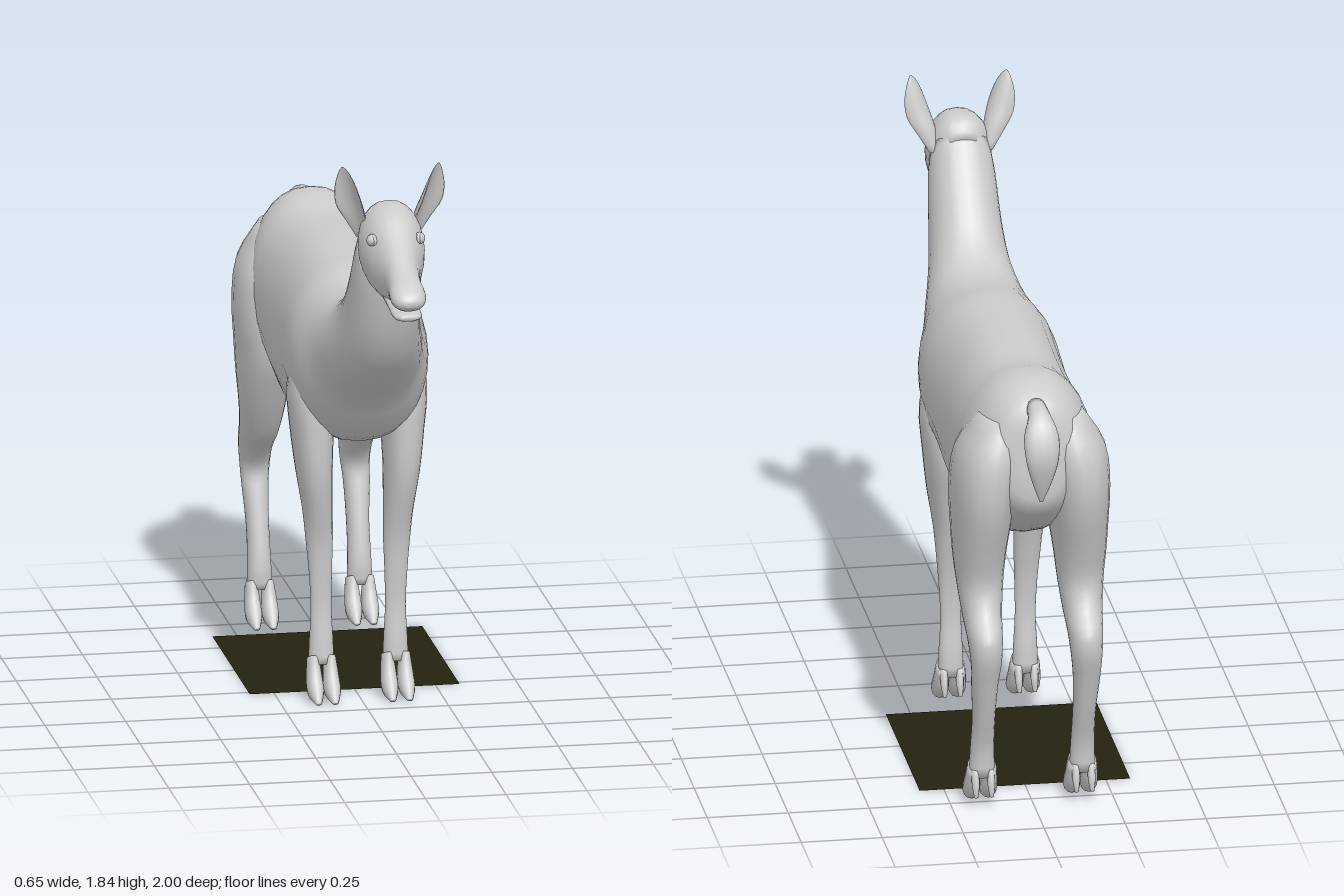
import * as THREE from 'three';

const coat = new THREE.MeshStandardMaterial({ color: 0xcccccc });
coat.name = 'pale grey coat';
const ground = new THREE.MeshStandardMaterial({ color: 0x24220f, side: THREE.DoubleSide });
ground.name = 'dark olive base';

// Smooth closed loft. Each section is [zA, yA, zB, yB, xCentre, halfWidth]:
// A and B are opposite edges of an elliptical ring in the side profile.
function loft(sections, { sides = 20, steps = 3, dx = 0, dz = 0, mirror = 1 } = {}) {
  const curveA = new THREE.CatmullRomCurve3(sections.map(s => new THREE.Vector3(s[5], s[1], s[0])));
  const curveB = new THREE.CatmullRomCurve3(sections.map(s => new THREE.Vector3(s[4], s[3], s[2])));
  const rings = (sections.length - 1) * steps + 1;
  const pos = [], index = [];
  const centres = [];
  for (let i = 0; i < rings; i++) {
    const a = curveA.getPoint(i / (rings - 1)), b = curveB.getPoint(i / (rings - 1));
    const cy = (a.y + b.y) / 2, cz = (a.z + b.z) / 2 + dz, cx = mirror * (b.x + dx);
    centres.push([cx, cy, cz]);
    for (let j = 0; j < sides; j++) {
      const t = (j / sides) * Math.PI * 2, c = Math.cos(t), s = Math.sin(t);
      const wide = Math.sign(s) * Math.pow(Math.abs(s), 0.88);
      pos.push(cx + wide * a.x, cy + c * (a.y - b.y) / 2, cz + c * (a.z - b.z) / 2);
    }
  }
  for (let i = 0; i < rings - 1; i++) {
    for (let j = 0; j < sides; j++) {
      const k = (j + 1) % sides;
      const p = i * sides + j, q = i * sides + k;
      index.push(p, p + sides, q, q, p + sides, q + sides);
    }
  }
  // end caps
  const start = rings * sides, end = start + 1, last = (rings - 1) * sides;
  pos.push(...centres[0], ...centres[rings - 1]);
  for (let j = 0; j < sides; j++) {
    const k = (j + 1) % sides;
    index.push(start, j, k, end, last + k, last + j);
  }
  const g = new THREE.BufferGeometry();
  g.setAttribute('position', new THREE.Float32BufferAttribute(pos, 3));
  g.setIndex(index);
  g.computeVertexNormals();
  return g;
}

function add(parent, name, geometry, material = coat) {
  const m = new THREE.Mesh(geometry, material);
  m.name = name;
  parent.add(m);
  return m;
}

const BODY = [
  [-0.875, 1.27, -0.89, 1.08, 0, 0.05], [-0.85, 1.33, -0.88, 1.0, 0, 0.12],
  [-0.78, 1.37, -0.80, 0.92, 0, 0.17], [-0.68, 1.38, -0.68, 0.85, 0, 0.20],
  [-0.54, 1.355, -0.55, 0.80, 0, 0.205], [-0.29, 1.36, -0.30, 0.745, 0, 0.205],
  [-0.10, 1.358, -0.12, 0.785, 0, 0.21], [0.03, 1.355, 0.05, 0.80, 0, 0.215],
  [0.12, 1.34, 0.18, 0.84, 0, 0.205], [0.19, 1.332, 0.30, 0.98, 0, 0.175],
  [0.28, 1.34, 0.42, 1.07, 0, 0.15], [0.37, 1.40, 0.53, 1.16, 0, 0.125],
  [0.45, 1.50, 0.60, 1.27, 0, 0.112], [0.53, 1.62, 0.645, 1.40, 0, 0.104],
  [0.575, 1.69, 0.66, 1.46, 0, 0.095],
];
const HEAD = [
  [0.55, 1.66, 0.62, 1.48, 0, 0.07], [0.585, 1.71, 0.665, 1.45, 0, 0.098],
  [0.65, 1.717, 0.70, 1.44, 0, 0.1], [0.71, 1.70, 0.75, 1.437, 0, 0.088],
  [0.77, 1.655, 0.80, 1.44, 0, 0.07], [0.84, 1.605, 0.85, 1.452, 0, 0.055],
  [0.90, 1.57, 0.90, 1.46, 0, 0.052], [0.95, 1.545, 0.95, 1.463, 0, 0.055],
  [0.985, 1.522, 0.985, 1.47, 0, 0.043], [1.0, 1.505, 1.0, 1.485, 0, 0.018],
];
const JAW = [
  [0.72, 1.52, 0.72, 1.445, 0, 0.055], [0.85, 1.47, 0.85, 1.433, 0, 0.045],
  [0.95, 1.458, 0.95, 1.428, 0, 0.043], [0.975, 1.452, 0.975, 1.435, 0, 0.025],
];
const TAIL = [
  [-0.85, 1.28, -0.84, 1.345, 0, 0.03], [-0.90, 1.275, -0.92, 1.335, 0, 0.036],
  [-0.93, 1.235, -0.97, 1.285, 0, 0.054], [-0.945, 1.18, -0.995, 1.20, 0, 0.05],
  [-0.945, 1.11, -0.977, 1.12, 0, 0.03], [-0.94, 1.045, -0.947, 1.047, 0, 0.005],
];
const FRONT_LEG = [
  [0.10, 1.17, 0.01, 1.17, 0.13, 0.045], [0.165, 0.98, -0.05, 0.98, 0.14, 0.075],
  [0.172, 0.83, -0.058, 0.85, 0.14, 0.065], [0.165, 0.70, -0.025, 0.72, 0.135, 0.055],
  [0.135, 0.58, 0.01, 0.60, 0.125, 0.046], [0.115, 0.50, 0.035, 0.50, 0.12, 0.042],
  [0.105, 0.40, 0.055, 0.40, 0.117, 0.036], [0.10, 0.28, 0.063, 0.28, 0.115, 0.032],
  [0.11, 0.18, 0.053, 0.18, 0.115, 0.037], [0.115, 0.11, 0.05, 0.095, 0.115, 0.04],
];
const HIND_LEG = [
  [-0.66, 1.27, -0.84, 1.27, 0.10, 0.06], [-0.56, 1.14, -0.895, 1.16, 0.13, 0.1],
  [-0.52, 1.00, -0.905, 1.04, 0.145, 0.1], [-0.535, 0.88, -0.885, 0.94, 0.15, 0.091],
  [-0.58, 0.78, -0.845, 0.82, 0.155, 0.08], [-0.63, 0.69, -0.822, 0.72, 0.155, 0.07],
  [-0.69, 0.60, -0.855, 0.64, 0.155, 0.06], [-0.755, 0.54, -0.907, 0.585, 0.155, 0.053],
  [-0.80, 0.47, -0.912, 0.52, 0.155, 0.047], [-0.785, 0.40, -0.885, 0.43, 0.157, 0.041],
  [-0.755, 0.29, -0.845, 0.30, 0.155, 0.035], [-0.732, 0.17, -0.808, 0.19, 0.155, 0.037],
  [-0.735, 0.11, -0.80, 0.095, 0.155, 0.04],
];
const TOE = [
  [0.112, 0.14, 0.05, 0.11, 0, 0.018], [0.135, 0.085, 0.075, 0.045, 0, 0.025],
  [0.162, 0.052, 0.115, 0.006, 0, 0.025], [0.195, 0.012, 0.185, 0.001, 0, 0.009],
];
const DEWCLAW = [
  [0.085, 0.12, 0.05, 0.12, 0, 0.012], [0.062, 0.075, 0.036, 0.075, 0, 0.012],
  [0.045, 0.036, 0.034, 0.038, 0, 0.006],
];
const EAR = [
  [-0.012, -0.02, 0.012, -0.02, 0, 0.02], [-0.015, 0.05, 0.010, 0.05, 0, 0.036],
  [-0.010, 0.11, 0.006, 0.11, 0, 0.045], [-0.007, 0.17, 0.004, 0.17, 0, 0.036],
  [-0.003, 0.215, 0.002, 0.215, 0, 0.015], [-0.001, 0.228, 0.001, 0.228, 0, 0.003],
];

// Leg with two toes and two dewclaws
function addLeg(parent, name, sections, mirror, footX, footZ) {
  const leg = new THREE.Group();
  leg.name = name;
  parent.add(leg);
  add(leg, 'limb', loft(sections, { mirror }));
  for (const s of [-1, 1]) {
    add(leg, 'toe', loft(TOE, { sides: 12, mirror, dx: footX + s * 0.026, dz: footZ }));
    add(leg, 'dewclaw', loft(DEWCLAW, { sides: 8, mirror, dx: footX + s * 0.024, dz: footZ }));
  }
}

// Leaf-shaped ear, cupped by pushing its edges forward
function earGeometry() {
  const g = loft(EAR, { sides: 16 });
  const p = g.attributes.position;
  for (let i = 0; i < p.count; i++) p.setZ(i, p.getZ(i) + 14 * p.getX(i) ** 2);
  g.computeVertexNormals();
  return g;
}

export function createModel() {
  const model = new THREE.Group();
  model.name = 'deer on base';

  add(model, 'torso and neck', loft(BODY, { sides: 28 }));
  add(model, 'head', loft(HEAD, { sides: 24 }));
  add(model, 'lower jaw', loft(JAW));
  add(model, 'tail', loft(TAIL, { sides: 16 }));

  for (const side of [1, -1]) {
    const word = side > 0 ? 'left' : 'right';
    addLeg(model, word + ' front leg', FRONT_LEG, side, 0.115, 0);
    addLeg(model, word + ' hind leg', HIND_LEG, side, 0.155, -0.85);

    const ear = add(model, word + ' ear', earGeometry());
    ear.rotation.set(0.2, side * 0.65, -side * 0.3, 'ZXY');
    ear.position.set(side * 0.083, 1.625, 0.6);

    // eye with a raised lid
    const eye = new THREE.Group();
    eye.name = word + ' eye';
    eye.position.set(side * 0.073, 1.628, 0.735);
    eye.rotation.y = side * 1.2;
    add(eye, 'eyeball', new THREE.SphereGeometry(0.018, 16, 10));
    add(eye, 'eyelid', new THREE.TorusGeometry(0.019, 0.005, 8, 18)).scale.y = 0.8;
    model.add(eye);
  }

  // flat base square under the body
  const base = add(model, 'base', new THREE.PlaneGeometry(0.65, 0.65), ground);
  base.rotation.x = -Math.PI / 2;
  base.position.set(0, 0, -0.305);
  return model;
}
